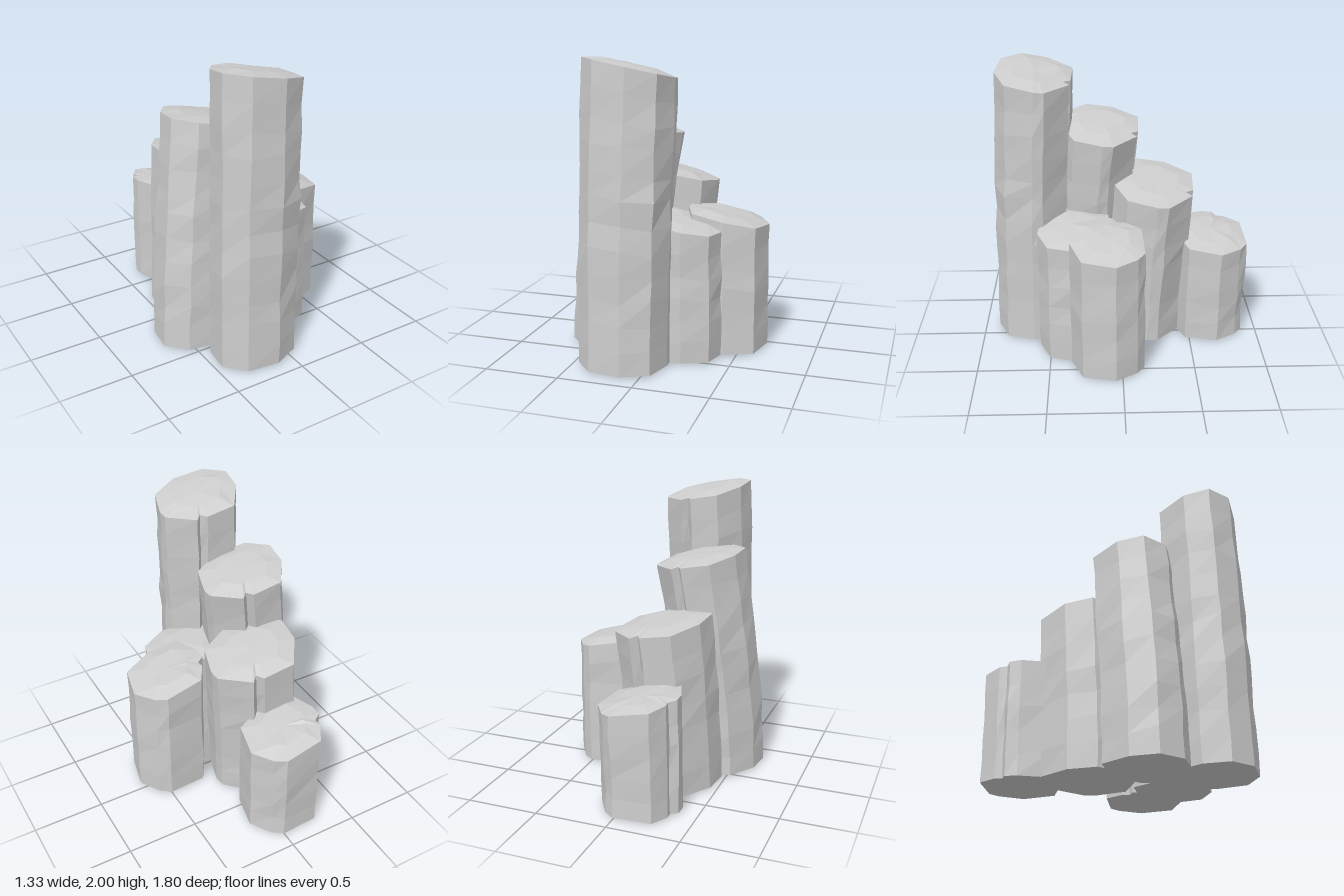
import * as THREE from 'three';

// Two shared rock sections [x, z], clockwise from above: one cracked on its back edge, one on its left.
const BACK_CRACK = [[-0.27, -0.07], [-0.15, -0.25], [0.05, -0.24], [0.08, -0.19], [0.12, -0.23], [0.28, -0.07],
  [0.285, 0], [0.23, 0.19], [0.05, 0.27], [-0.17, 0.24], [-0.29, 0.11]];
const LEFT_CRACK = [[-0.265, -0.04], [-0.215, -0.07], [-0.22, -0.12], [-0.15, -0.235], [0.115, -0.25], [0.185, -0.2],
  [0.275, -0.055], [0.225, 0.17], [0.025, 0.25], [-0.195, 0.23], [-0.265, 0.04]];

// at: cap centre; scale: width and depth; rim, slope: cap height and tilt; lean: drift of the foot.
const COLUMNS = [
  { name: 'tallFrontColumn', section: BACK_CRACK, at: [-0.13, 0.57], scale: [1, 1], rim: 1.93, slope: [-0.19, 0.12], lean: [-0.04, 0.06] },
  { name: 'secondColumn', section: BACK_CRACK, at: [-0.225, 0.12], scale: [1.02, 1.03], rim: 1.53, slope: [-0.2, 0.08], lean: [-0.15, 0.1] },
  { name: 'thirdColumn', section: BACK_CRACK, at: [-0.09, -0.25], scale: [1.09, 1.08], rim: 1.145, slope: [-0.19, 0.09], lean: [-0.07, 0.06] },
  { name: 'backColumn', section: LEFT_CRACK, at: [-0.1, -0.65], scale: [1, 1], rim: 0.755, slope: [-0.18, 0.08], lean: [-0.01, 0.01] },
  { name: 'rightColumn', section: LEFT_CRACK, at: [0.385, 0.1], scale: [1, 1], rim: 0.92, slope: [-0.2, 0.03], lean: [0, 0] },
  { name: 'shortFrontColumn', section: BACK_CRACK, at: [0.14, 0.32], scale: [0.95, 0.95], rim: 0.91, slope: [-0.18, -0.03], lean: [0, 0] },
];

function seeded(seed) {
  let s = seed;
  return () => {
    s = (s * 16807) % 2147483647;
    return s / 2147483647 - 0.5;
  };
}

function columnGeometry({ section, at: [cx, cz], scale, rim, slope, lean }, seed) {
  const rand = seeded(seed);
  const outline = section.map(([x, z]) => [x * scale[0], z * scale[1]]);
  const n = outline.length;
  const rows = Math.round(rim / 0.16);
  const positions = [], index = [];

  // weathered shaft: stacked rings from foot to tilted rim
  for (let r = 0; r <= rows; r++) {
    const t = r / rows;
    const drift = 1 - t ** 1.4;
    const rough = r === 0 || r === rows ? 0 : 0.016;
    for (const [x, z] of outline) {
      const top = rim + slope[0] * x + slope[1] * z;
      const y = 0.01 + t * (top - 0.01) + rand() * rough * 3;
      const k = 1 + rand() * rough * 2;
      positions.push(
        cx + x * k + lean[0] * drift + rand() * rough * 0.6, y,
        cz + z * k + lean[1] * drift + rand() * rough * 0.6);
    }
  }
  // low uneven dome on the cap
  for (const [x, z] of outline) {
    const dx = x * 0.6, dz = z * 0.6;
    positions.push(cx + dx, rim + 0.025 + slope[0] * dx + slope[1] * dz + rand() * 0.015, cz + dz);
  }
  for (let r = 0; r <= rows; r++) {
    for (let i = 0; i < n; i++) {
      const a = r * n + i, b = r * n + (i + 1) % n;
      index.push(b, a, a + n, b, a + n, b + n);
    }
  }
  // close the cap and the foot with fans
  const capCentre = positions.length / 3, footCentre = capCentre + 1;
  positions.push(cx, rim + 0.03, cz, cx + lean[0], 0, cz + lean[1]);
  const inner = (rows + 1) * n;
  for (let i = 0; i < n; i++) {
    const j = (i + 1) % n;
    index.push(capCentre, inner + j, inner + i, footCentre, i, j);
  }

  const geometry = new THREE.BufferGeometry();
  geometry.setAttribute('position', new THREE.Float32BufferAttribute(positions, 3));
  geometry.setIndex(index);
  const faceted = geometry.toNonIndexed();
  faceted.computeVertexNormals();
  return faceted;
}

export function createModel() {
  const group = new THREE.Group();
  group.name = 'basaltColumns';
  const stone = new THREE.MeshStandardMaterial({ color: 0xcccccc, flatShading: true });
  stone.name = 'grey stone';
  COLUMNS.forEach((column, i) => {
    const mesh = new THREE.Mesh(columnGeometry(column, 4127 + i * 7919), stone);
    mesh.name = column.name;
    group.add(mesh);
  });
  return group;
}
